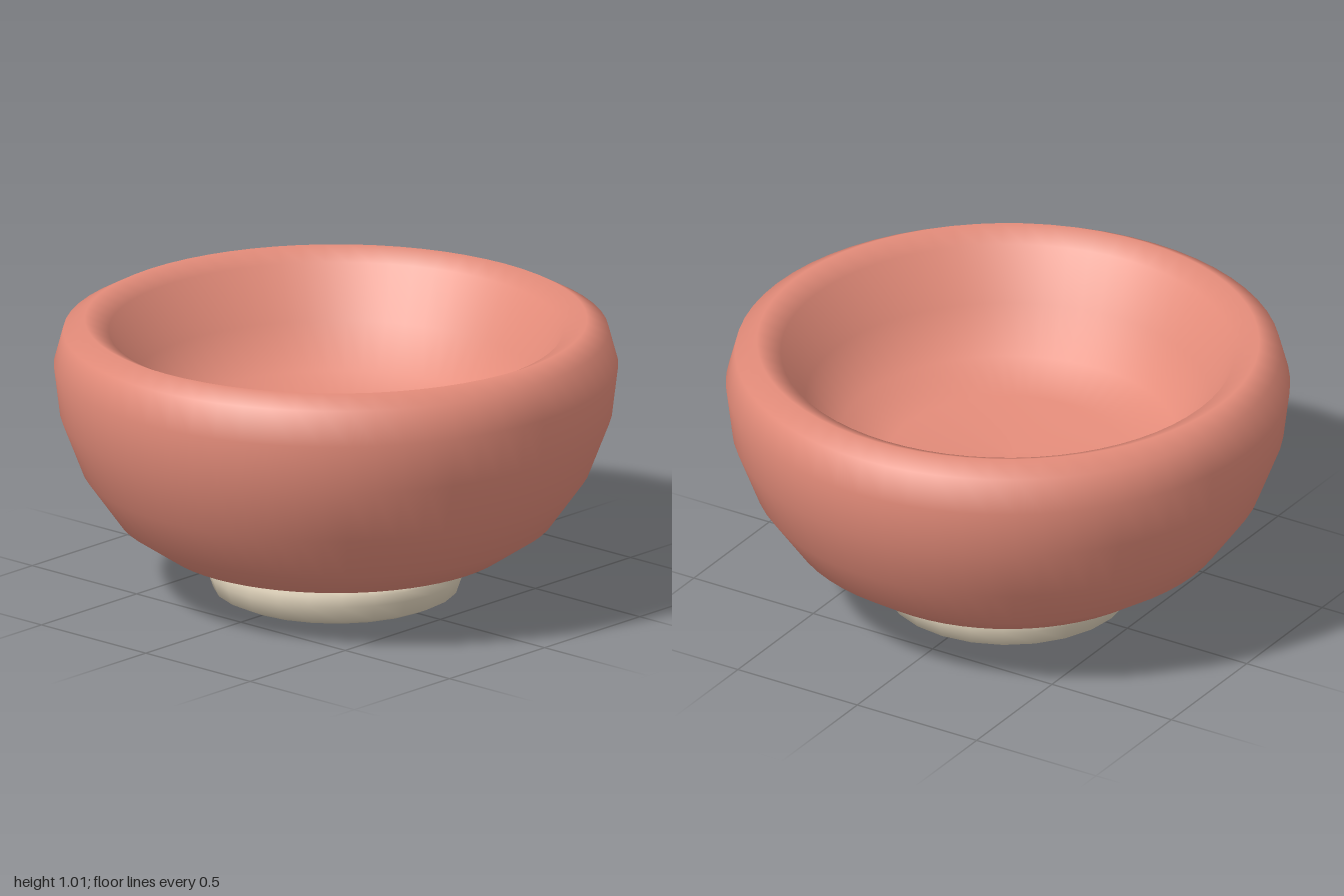
import * as THREE from 'three';

const clay = new THREE.MeshStandardMaterial({ color: 0xe48c7a });
clay.name = 'terracotta';
const cream = new THREE.MeshStandardMaterial({ color: 0xe2d5bd });
cream.name = 'cream';

// Turned part from a profile of [radius, height] pairs, bottom centre first
function turned(name, profile, segments, material) {
  const points = profile.map(([r, y]) => new THREE.Vector2(r, y));
  const mesh = new THREE.Mesh(new THREE.LatheGeometry(points, segments), material);
  mesh.name = name;
  return mesh;
}

export function createModel() {
  const group = new THREE.Group();
  group.name = 'footedBowl';

  // Bowl: underside, outer wall, rounded rim, sloping inner wall, nearly flat floor
  group.add(turned('bowl', [
    [0, 0.13], [0.44, 0.135], [0.625, 0.187], [0.775, 0.288], [0.9, 0.463],
    [0.978, 0.665], [1, 0.845], [0.967, 0.968], [0.89, 1.01],
    [0.805, 0.97], [0.72, 0.78], [0.6, 0.63], [0.42, 0.565], [0, 0.55],
  ], 64, clay));

  // Foot: a low disc with a softened lower edge
  group.add(turned('foot', [
    [0, 0], [0.388, 0], [0.435, 0.022], [0.455, 0.08],
    [0.455, 0.115], [0.445, 0.138], [0, 0.138],
  ], 24, cream));

  return group;
}
